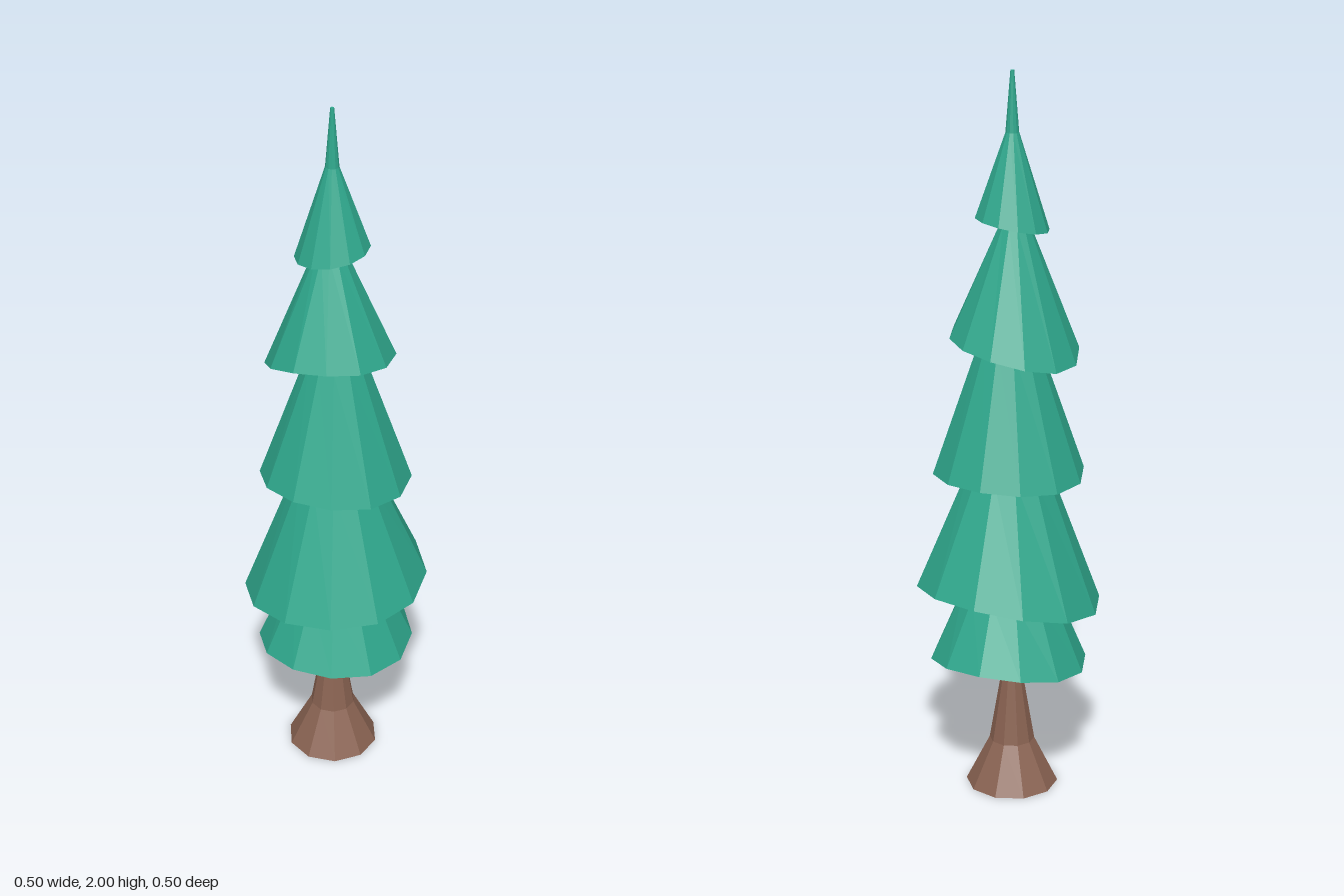
import * as THREE from 'three';

const needles = new THREE.MeshStandardMaterial({ color: 0x2fa88d, flatShading: true });
needles.name = 'needle green';
const bark = new THREE.MeshStandardMaterial({ color: 0x8a6352, flatShading: true, side: THREE.DoubleSide });
bark.name = 'bark brown';

const lathe = (points, sides) =>
  new THREE.LatheGeometry(points.map(([r, y]) => new THREE.Vector2(r, y)), sides);

// Foliage tiers: centre x, rim radius, upper profile as [radius, y],
// and rim heights at the left (+x), right (-x), front (+z) and back (-z).
const tiers = [
  { name: 'topTier', x: -0.01, r: 0.098, upper: [[0.018, 1.84], [0.005, 2], [0, 2]], rim: [1.615, 1.583, 1.593, 1.61] },
  { name: 'upperTier', x: -0.017, r: 0.173, upper: [[0.04, 1.6], [0, 1.7]], rim: [1.307, 1.235, 1.322, 1.275] },
  { name: 'middleTier', x: 0, r: 0.205, upper: [[0.08, 1.28], [0, 1.5]], rim: [0.92, 0.908, 0.945, 0.925] },
  { name: 'wideTier', x: 0, r: 0.252, upper: [[0.108, 0.93], [0, 1.2]], rim: [0.585, 0.537, 0.572, 0.608] },
  { name: 'lowestTier', x: 0, r: 0.215, upper: [[0.125, 0.58], [0, 0.87]], rim: [0.37, 0.36, 0.386, 0.402] },
];

// Closed cone skirt whose rim is tilted and warped by its four heights
function makeTier({ name, x, r, upper, rim }) {
  const [left, right, front, back] = rim;
  const mid = (left + right + front + back) / 4;
  const warp = (left + right - front - back) / 4;
  const geometry = lathe([[0, mid], [r, mid], ...upper], 12);
  const p = geometry.attributes.position;
  for (let i = 0; i < p.count; i++) {
    if (Math.abs(p.getY(i) - mid) > 1e-4) continue;
    const c = p.getX(i) / r, s = p.getZ(i) / r;
    p.setY(i, mid + c * (left - right) / 2 + s * (front - back) / 2 + warp * (c * c - s * s));
  }
  const mesh = new THREE.Mesh(geometry, needles);
  mesh.name = name;
  mesh.position.x = x;
  return mesh;
}

export function createModel() {
  const tree = new THREE.Group();
  tree.name = 'tree';

  // Flared trunk, open underneath
  const trunk = new THREE.Mesh(lathe([[0.127, 0], [0.062, 0.13], [0.022, 0.37], [0.015, 0.5]], 10), bark);
  trunk.name = 'trunk';
  trunk.position.x = -0.01;
  tree.add(trunk);

  tiers.forEach((tier) => tree.add(makeTier(tier)));
  return tree;
}
